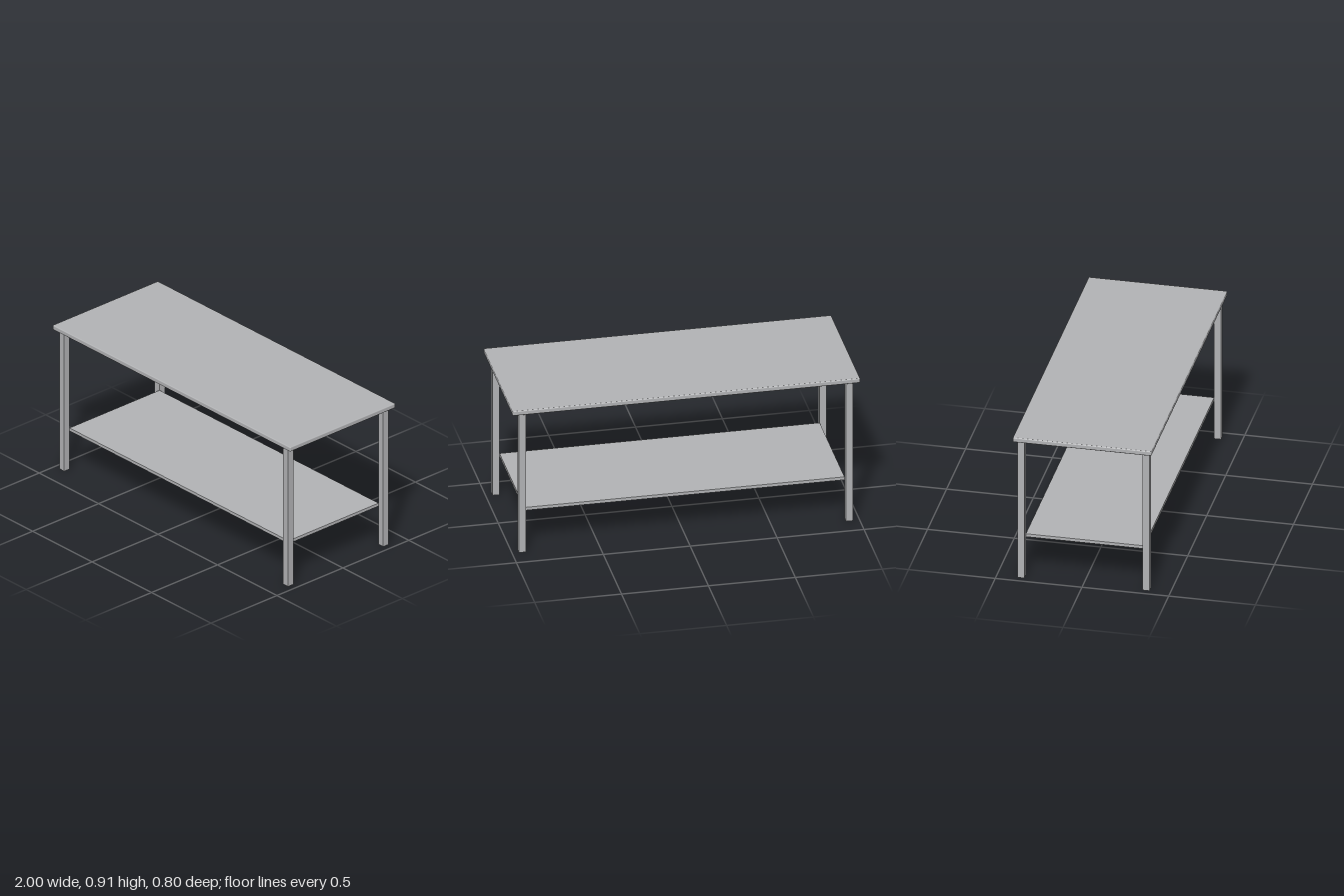
import * as THREE from 'three';
import { RoundedBoxGeometry } from 'three/addons/geometries/RoundedBoxGeometry.js';

export function createModel() {
  const table = new THREE.Group();
  table.name = 'workTable';
  const steel = new THREE.MeshStandardMaterial({ color: 0xb2b3b5 });
  steel.name = 'brushed steel';

  const add = (name, geometry, x, y, z) => {
    const mesh = new THREE.Mesh(geometry, steel);
    mesh.name = name;
    mesh.position.set(x, y, z);
    table.add(mesh);
  };

  // Worktop with softened edges
  const bottom = 0.877, top = 0.906;
  add('worktop', new RoundedBoxGeometry(2, top - bottom, 0.8, 2, 0.006), 0, (top + bottom) / 2, 0);

  // Lower shelf fitted between the inner corners of the legs
  add('shelf', new THREE.BoxGeometry(1.842, 0.019, 0.682), 0, 0.252, 0);

  // Four square legs
  const leg = new THREE.BoxGeometry(0.04, bottom, 0.04);
  for (const sx of [-1, 1]) {
    for (const sz of [-1, 1]) {
      const name = (sz > 0 ? 'front' : 'back') + (sx > 0 ? 'Left' : 'Right') + 'Leg';
      add(name, leg, sx * 0.941, bottom / 2, sz * 0.361);
    }
  }
  return table;
}
